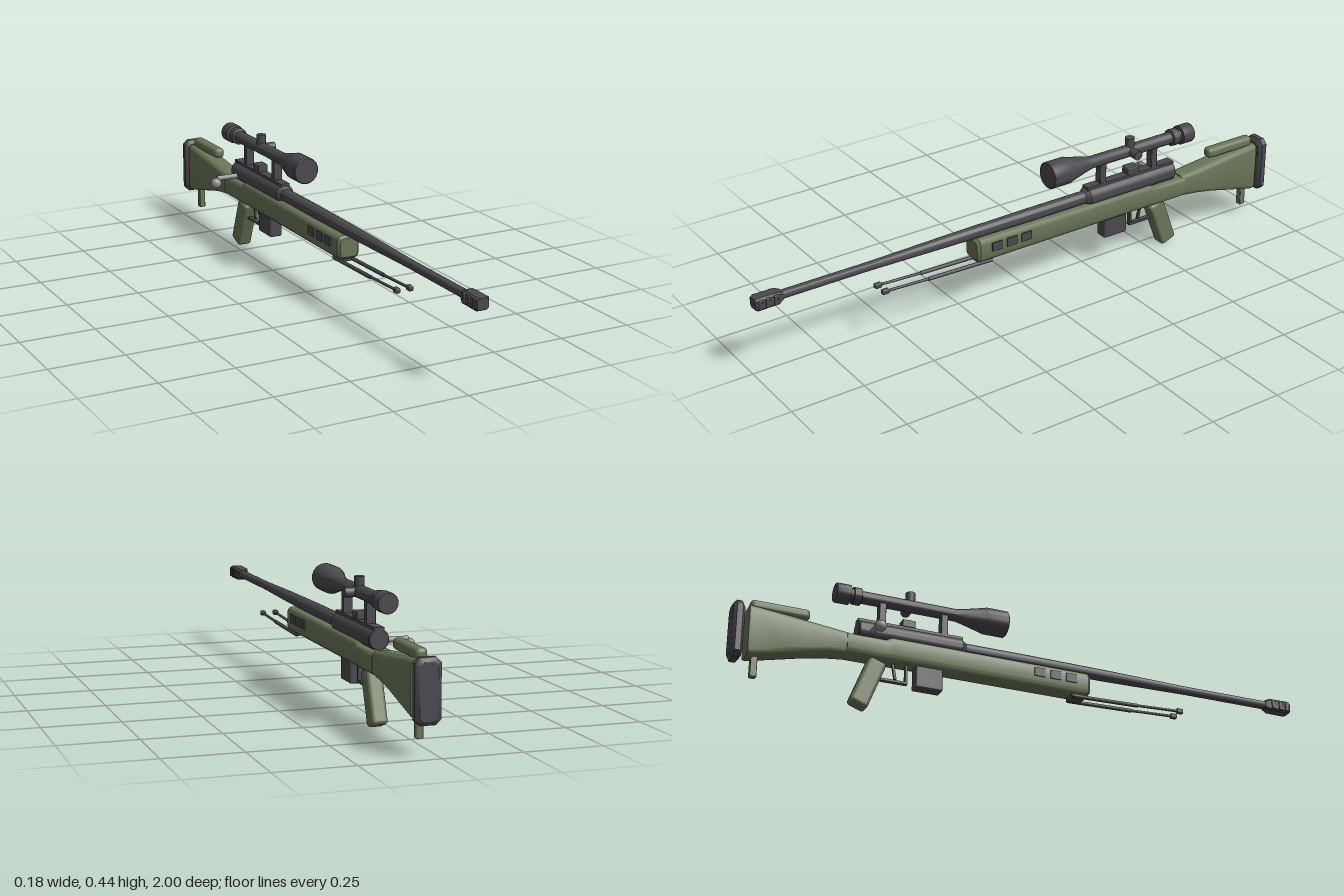
import * as THREE from 'three';
import { toCreasedNormals } from 'three/addons/utils/BufferGeometryUtils.js';
import { RoundedBoxGeometry } from 'three/addons/geometries/RoundedBoxGeometry.js';

const material = (name, color) => {
  const m = new THREE.MeshStandardMaterial({ color });
  m.name = name;
  return m;
};

// Closed body from rounded rectangles [z, bottom, top, halfWidth, cornerRadius], front to back
function loft(sections, steps = 3) {
  const pos = [], index = [], n = 4 * (steps + 1);
  for (const [z, y0, y1, w, r] of sections) {
    const corners = [[w - r, y1 - r], [r - w, y1 - r], [r - w, y0 + r], [w - r, y0 + r]];
    corners.forEach(([cx, cy], q) => {
      for (let k = 0; k <= steps; k++) {
        const a = (q + k / steps) * Math.PI / 2;
        pos.push(cx + r * Math.cos(a), cy + r * Math.sin(a), z);
      }
    });
  }
  const last = (sections.length - 1) * n;
  for (let j = 0; j < n; j++) {
    const k = (j + 1) % n;
    for (let i = 0; i < last; i += n) {
      index.push(i + j, i + n + j, i + k, i + k, i + n + j, i + n + k);
    }
    if (j > 0 && j < n - 1) index.push(0, j, j + 1, last, last + j + 1, last + j);
  }
  const g = new THREE.BufferGeometry();
  g.setAttribute('position', new THREE.Float32BufferAttribute(pos, 3));
  g.setIndex(index);
  return toCreasedNormals(g, 0.6);
}

// Round body along z from [radius, z] pairs listed back to front
function turned(profile, sides = 32) {
  const g = new THREE.LatheGeometry(profile.map(([r, z]) => new THREE.Vector2(r, z)), sides);
  g.rotateX(Math.PI / 2);
  return toCreasedNormals(g, 0.5);
}

export function createModel() {
  const root = new THREE.Group();
  root.name = 'rifle';
  root.position.x = 0.04;
  const green = material('olive green', 0x6a7658);
  const dark = material('gunmetal', 0x4a494e);
  const steel = material('bare steel', 0x8e8e8e);

  const add = (name, geometry, mat, x = 0, y = 0, z = 0) => {
    const mesh = new THREE.Mesh(geometry, mat);
    mesh.name = name;
    mesh.position.set(x, y, z);
    root.add(mesh);
    return mesh;
  };
  const box = (name, mat, w, h, d, x, y, z, r = 0) =>
    add(name, r ? new RoundedBoxGeometry(w, h, d, 3, r) : new THREE.BoxGeometry(w, h, d), mat, x, y, z);
  // Cylinder running between two points
  const rod = (name, mat, from, to, r, sides = 16) => {
    const a = new THREE.Vector3(...from), b = new THREE.Vector3(...to);
    const mesh = add(name, new THREE.CylinderGeometry(r, r, a.distanceTo(b), sides), mat);
    mesh.position.copy(a).add(b).multiplyScalar(0.5);
    mesh.quaternion.setFromUnitVectors(new THREE.Vector3(0, 1, 0), b.sub(a).normalize());
    return mesh;
  };

  // Stock
  add('forend', loft([
    [0.22, 0.182, 0.246, 0.032, 0.014],
    [0.21, 0.174, 0.254, 0.039, 0.016],
    [-0.48, 0.174, 0.254, 0.039, 0.016],
    [-0.5, 0.174, 0.243, 0.039, 0.014],
    [-0.63, 0.174, 0.243, 0.039, 0.014],
  ]), green);
  add('butt', loft([
    [-0.62, 0.172, 0.246, 0.036, 0.016],
    [-0.69, 0.164, 0.254, 0.036, 0.016],
    [-0.76, 0.15, 0.262, 0.035, 0.016],
    [-0.83, 0.133, 0.27, 0.035, 0.016],
    [-0.935, 0.108, 0.28, 0.035, 0.016],
    [-0.948, 0.108, 0.28, 0.035, 0.016],
  ]), green);
  box('cheekRest', green, 0.038, 0.036, 0.195, 0, 0.29, -0.845, 0.014);
  add('buttPad', loft([
    [-0.962, 0.108, 0.278, 0.028, 0.012],
    [-0.972, 0.096, 0.29, 0.04, 0.016],
    [-0.99, 0.096, 0.29, 0.04, 0.016],
    [-1, 0.108, 0.278, 0.028, 0.012],
  ], 1), dark);
  box('rearSupport', green, 0.022, 0.08, 0.022, 0, 0.085, -0.919, 0.003);
  box('pistolGrip', green, 0.052, 0.175, 0.062, 0, 0.09, -0.549, 0.012).rotation.x = 0.36;

  // Side vents on both sides of the forend
  for (const side of [-1, 1]) {
    for (const z of [0.148, 0.091, 0.034]) {
      box('ventPlate', dark, 0.009, 0.03, 0.038, side * 0.0385, 0.222, z);
    }
  }

  // Barrel, muzzle brake and receiver
  add('barrel', turned([
    [0, -0.24], [0.022, -0.24], [0.022, 0], [0.0195, 0.3], [0.0145, 0.6], [0.0145, 0.92], [0, 0.92],
  ]), dark, 0, 0.272, 0);
  add('muzzleBrake', loft([
    [1, 0.254, 0.29, 0.019, 0.006], [0.992, 0.25, 0.293, 0.023, 0.006],
    [0.92, 0.25, 0.293, 0.021, 0.006], [0.905, 0.256, 0.287, 0.016, 0.006],
  ], 1), dark);
  for (const z of [0.985, 0.96, 0.932]) {
    box('brakeRib', dark, 0.051, 0.034, 0.014, 0, 0.272, z, 0.003);
  }
  add('receiver', turned([
    [0, -0.59], [0.03, -0.59], [0.033, -0.586], [0.033, -0.235], [0.022, -0.22], [0, -0.22],
  ]), dark, 0, 0.272, 0);
  box('rail', dark, 0.032, 0.014, 0.36, 0, 0.303, -0.41);
  box('railClamp', dark, 0.036, 0.026, 0.045, 0, 0.322, -0.418, 0.003);

  // Bolt handle
  rod('boltHandle', steel, [-0.02, 0.263, -0.545], [-0.108, 0.263, -0.545], 0.009);
  add('boltKnob', new THREE.SphereGeometry(0.019, 24, 16), steel, -0.112, 0.246, -0.545);

  // Scope
  add('scope', turned([
    [0, -0.668], [0.031, -0.668], [0.033, -0.664], [0.033, -0.62], [0.024, -0.618], [0.024, -0.61],
    [0.029, -0.608], [0.029, -0.583], [0.021, -0.58], [0.021, -0.25], [0.026, -0.225],
    [0.043, -0.155], [0.045, -0.15], [0.045, -0.078], [0.042, -0.075], [0, -0.075],
  ]), dark, 0, 0.393, 0);
  for (const z of [-0.294, -0.508]) {
    box('scopeMount', dark, 0.031, 0.08, 0.023, 0, 0.343, z, 0.003);
  }
  rod('elevationTurret', dark, [0, 0.39, -0.411], [0, 0.441, -0.411], 0.016, 24);
  rod('windageTurret', dark, [0, 0.392, -0.411], [0.05, 0.392, -0.411], 0.016, 24);

  // Magazine and trigger
  box('magazine', dark, 0.044, 0.085, 0.092, 0, 0.144, -0.345, 0.005);
  box('guardFront', dark, 0.016, 0.066, 0.007, 0, 0.145, -0.419);
  box('guardBottom', dark, 0.016, 0.008, 0.095, 0, 0.114, -0.462);
  box('trigger', dark, 0.009, 0.055, 0.008, 0, 0.15, -0.46).rotation.x = -0.2;

  // Folded bipod
  box('bipodMount', dark, 0.05, 0.014, 0.05, 0, 0.169, 0.18, 0.003);
  for (const side of [-1, 1]) {
    const x = side * 0.023;
    rod('bipodUpperLeg', dark, [x, 0.166, 0.16], [x, 0.172, 0.4], 0.0065);
    rod('bipodLowerLeg', dark, [x, 0.172, 0.39], [x, 0.179, 0.56], 0.0045);
    box('bipodFoot', dark, 0.016, 0.017, 0.024, x, 0.179, 0.558, 0.004);
  }
  return root;
}
